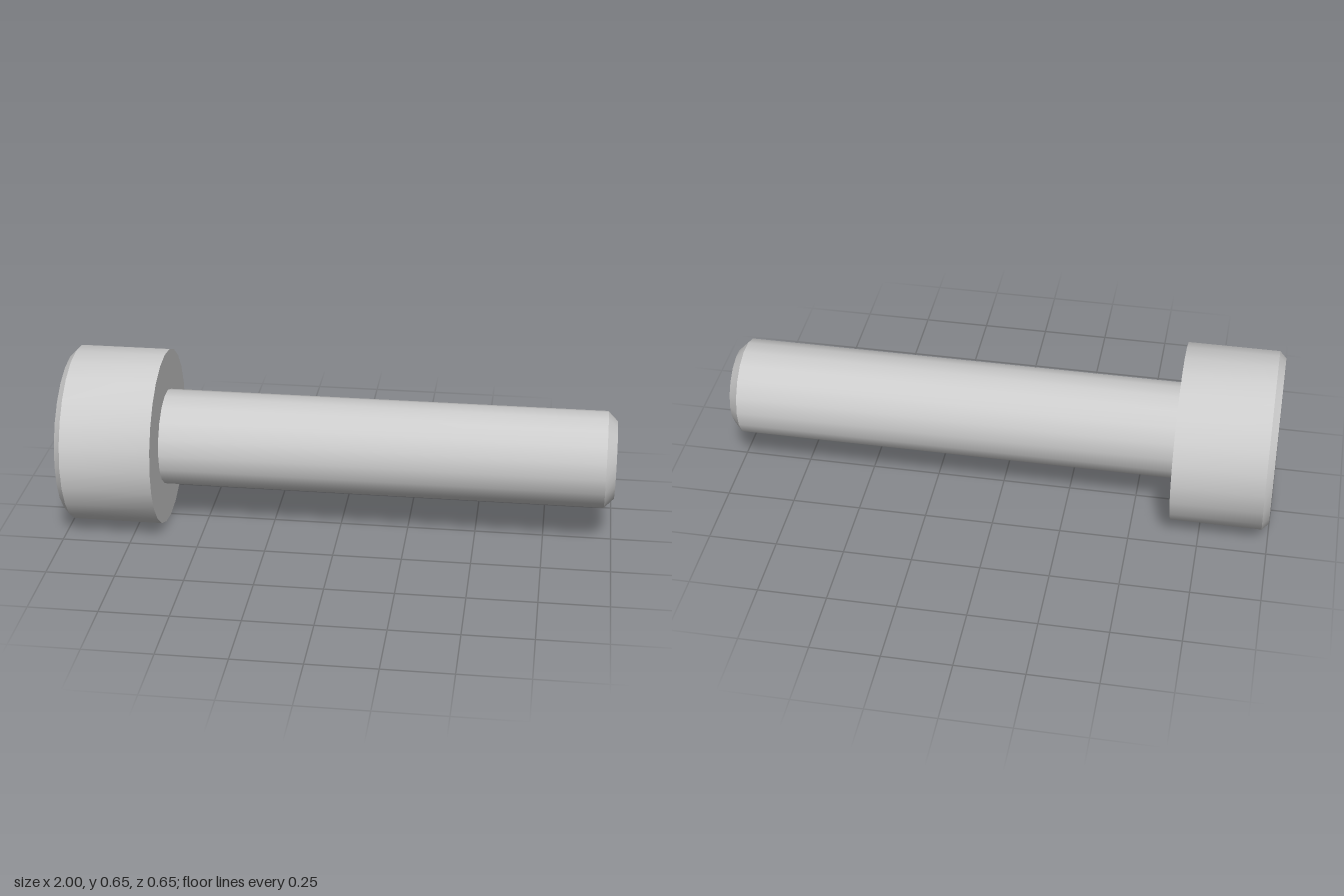
import * as THREE from 'three';
import { toCreasedNormals } from 'three/addons/utils/BufferGeometryUtils.js';

const HEAD_R = 0.324, FACE_R = 0.3, SHAFT_R = 0.176, TIP_R = 0.141, HEX_R = 0.173;
const HEAD_END = -1, SHOULDER = -0.647, SOCKET_FLOOR = -0.822, TIP_END = 1;

// Turned part along the x axis; profile is [radius, x] pairs
function turned(profile, sides, startAngle = 0) {
  const points = profile.map(([r, x]) => new THREE.Vector2(r, x));
  const geometry = new THREE.LatheGeometry(points, sides, startAngle);
  geometry.rotateZ(-Math.PI / 2);
  return toCreasedNormals(geometry, Math.PI / 6);
}

function polygon(radius, sides, startAngle = 0) {
  return Array.from({ length: sides }, (_, i) => {
    const a = startAngle + (i / sides) * Math.PI * 2;
    return new THREE.Vector2(radius * Math.cos(a), radius * Math.sin(a));
  });
}

export function createModel() {
  const group = new THREE.Group();
  group.name = 'socketHeadBolt';
  const material = new THREE.MeshStandardMaterial({ color: 0xcccccc });
  const add = (name, geometry) => {
    const mesh = new THREE.Mesh(geometry, material);
    mesh.name = name;
    mesh.position.y = HEAD_R;
    group.add(mesh);
  };

  // Head wall with chamfered rim and shoulder
  add('head', turned([
    [FACE_R, HEAD_END], [HEAD_R, HEAD_END + 0.024], [HEAD_R, SHOULDER], [0.16, SHOULDER],
  ], 24));

  // Flat end of the head, pierced by the hexagon
  const face = new THREE.Shape(polygon(FACE_R, 24));
  face.holes.push(new THREE.Path(polygon(HEX_R, 6, Math.PI / 2)));
  const faceGeometry = new THREE.ShapeGeometry(face);
  faceGeometry.rotateY(-Math.PI / 2);
  faceGeometry.translate(HEAD_END, 0, 0);
  add('headFace', faceGeometry);

  // Hex socket, walls facing inward
  add('hexSocket', turned([
    [0, SOCKET_FLOOR], [HEX_R, SOCKET_FLOOR], [HEX_R, HEAD_END],
  ], 6, Math.PI / 2));

  // Plain shaft with chamfered tip
  add('shaft', turned([
    [SHAFT_R, SHOULDER], [SHAFT_R, TIP_END - 0.035], [TIP_R, TIP_END], [0, TIP_END],
  ], 18));

  return group;
}
